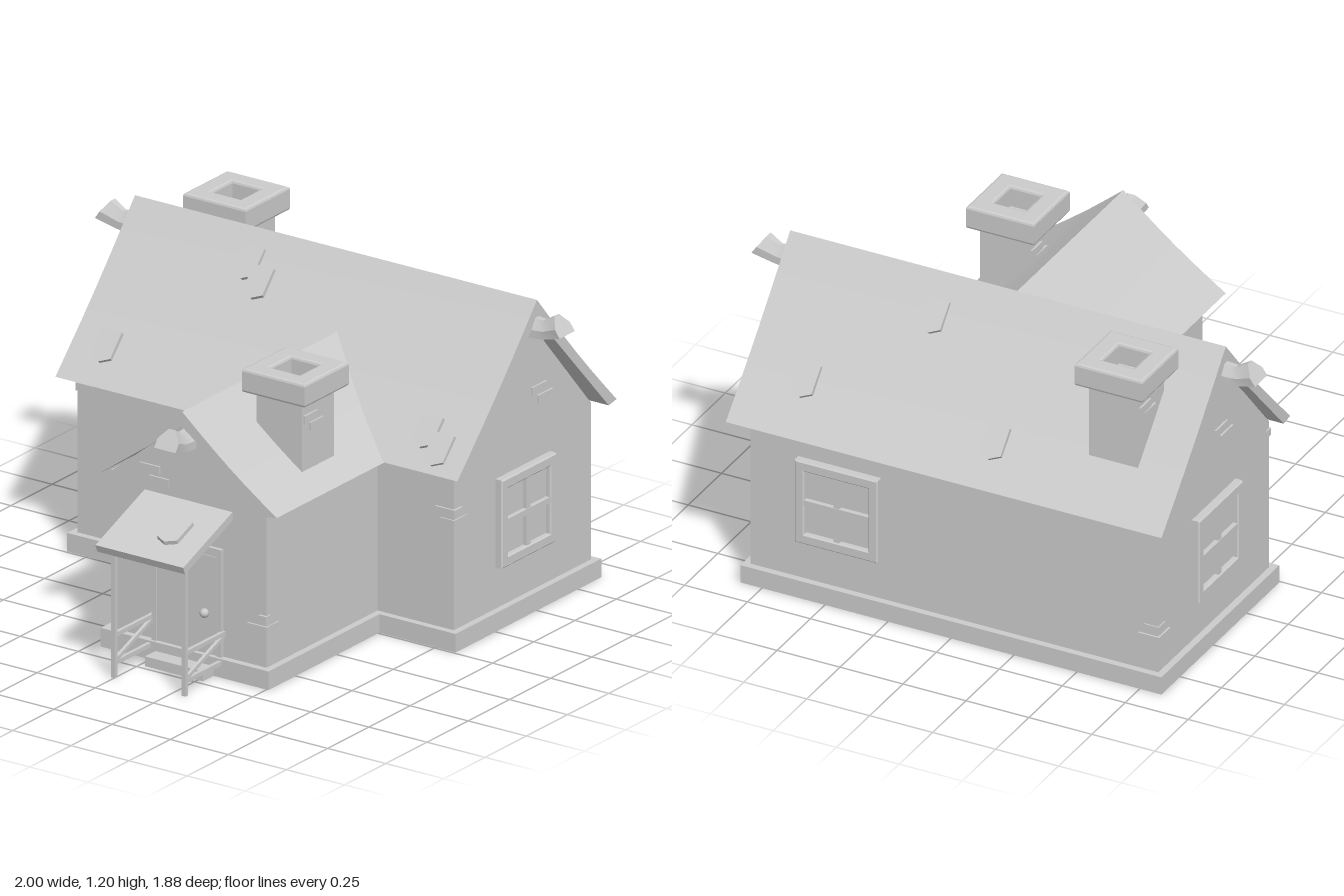
import * as THREE from 'three';
import { toCreasedNormals } from 'three/addons/utils/BufferGeometryUtils.js';

const mat = new THREE.MeshStandardMaterial({ color: 0xcccccc, side: THREE.DoubleSide });
const WX = 0.147; // centre line of the front wing

function add(parent, name, geo, x = 0, y = 0, z = 0) {
  const m = new THREE.Mesh(geo, mat);
  m.name = name;
  m.position.set(x, y, z);
  parent.add(m);
  return m;
}
const box = (parent, name, w, h, d, x, y, z) => add(parent, name, new THREE.BoxGeometry(w, h, d), x, y, z);
const poly = (pts) => new THREE.Shape(pts.map((p) => new THREE.Vector2(p[0], p[1])));
const extrude = (shape, depth) => new THREE.ExtrudeGeometry(shape, { depth, bevelEnabled: false });
const rect = (w, h) => [[-w, -h], [w, -h], [w, h], [-w, h]];

// T-shaped floor plan, grown outwards by o (negative shrinks it)
const plan = (o) => [
  [-0.81 - o, 0.865 + o], [-0.81 - o, 0.033 - o], [-0.188 - o, 0.033 - o], [-0.188 - o, -0.64 - o],
  [0.482 + o, -0.64 - o], [0.482 + o, 0.033 - o], [0.81 + o, 0.033 - o], [0.81 + o, 0.865 + o],
];
function planRing(outer, inner, y0, y1) {
  const s = poly(plan(outer));
  s.holes.push(poly(plan(inner)));
  return extrude(s, y1 - y0).rotateX(-Math.PI / 2).translate(0, y0, 0);
}

// Gabled roof profile with a slight sag, extruded along z
function roofGeo(half, ridge, eave, inHalf, inRidge, length) {
  const side = [];
  for (let i = 0; i <= 6; i++) {
    const t = i / 6;
    side.push([half * t, ridge + (eave - ridge) * t - 0.012 * Math.sin(Math.PI * t)]);
  }
  side.push([inHalf, eave - 0.008]);
  const left = side.slice(1).reverse().map(([x, y]) => [-x, y]);
  return extrude(poly([...side, [0, inRidge], ...left]), length);
}

// Beam end: five-sided sections that swing up and flare at the tip (out along +z)
function beamGeo() {
  const sections = [ // bottom out, bottom y, top out, top y, half width
    [-0.08, 0, -0.08, 0.07, 0.034], [0.02, 0, 0.02, 0.068, 0.034],
    [0.06, 0.004, 0.045, 0.066, 0.032], [0.14, 0.03, 0.095, 0.095, 0.046],
  ];
  const ring = [[-1, 0], [1, 0], [1, 0.45], [0.3, 1], [-0.3, 1], [-1, 0.45]];
  const pos = [], idx = [], n = ring.length;
  sections.forEach(([zb, yb, zt, yt, w], s) => ring.forEach(([u, v], i) => {
    pos.push(u * w, yb + (yt - yb) * v, zb + (zt - zb) * v);
    if (!s) return;
    const a = (s - 1) * n + i, b = (s - 1) * n + (i + 1) % n;
    idx.push(a, b, b + n, a, b + n, a + n);
  }));
  const e = (sections.length - 1) * n;
  for (let i = 1; i < n - 1; i++) idx.push(e, e + i, e + i + 1);
  const g = new THREE.BufferGeometry();
  g.setAttribute('position', new THREE.Float32BufferAttribute(pos, 3));
  g.setIndex(idx);
  return toCreasedNormals(g, 0.5);
}

function makeWindow(parent, name, x, z, turn) {
  const g = new THREE.Group();
  g.name = name;
  const s = poly(rect(0.165, 0.167));
  s.holes.push(poly(rect(0.127, 0.127)));
  add(g, 'windowFrame', new THREE.ExtrudeGeometry(s, {
    depth: 0.06, bevelThickness: 0.005, bevelSize: 0.005, bevelOffset: -0.005, bevelSegments: 1,
  }), 0, 0, -0.04);
  box(g, 'glass', 0.27, 0.27, 0.05, 0, 0, -0.02);
  box(g, 'verticalBar', 0.022, 0.26, 0.025, 0, 0, 0.008);
  box(g, 'horizontalBar', 0.26, 0.022, 0.03, 0, 0, 0.008);
  g.position.set(x, 0.392, z);
  g.rotation.y = turn;
  parent.add(g);
}

// Chimney whose foot follows the roof slope below it
function makeChimney(parent, name, x, z, top, foot) {
  const g = new THREE.Group();
  g.name = name;
  const shaft = new THREE.BoxGeometry(0.195, 1, 0.195);
  const p = shaft.attributes.position;
  for (let i = 0; i < p.count; i++) p.setY(i, p.getY(i) > 0 ? top - 0.08 : foot(p.getX(i), p.getZ(i)));
  add(g, 'chimneyShaft', shaft);
  const s = poly(rect(0.135, 0.135));
  s.holes.push(poly(rect(0.062, 0.062)));
  const cap = new THREE.ExtrudeGeometry(s, {
    depth: 0.07, bevelThickness: 0.01, bevelSize: 0.01, bevelOffset: -0.01, bevelSegments: 2,
  });
  add(g, 'chimneyCap', cap.rotateX(-Math.PI / 2), 0, top - 0.08, 0);
  for (const [u, y] of [[0.05, top - 0.155], [0.015, top - 0.19]]) {
    box(g, 'chimneyBrick', 0.012, 0.03, 0.08, 0.099, y, u);
    box(g, 'chimneyBrick', 0.012, 0.03, 0.08, -0.099, y, -u);
  }
  g.position.set(x, 0, z);
  parent.add(g);
}

// Loose shingle with a pointed lower edge, lying on a slope that faces +z or -z
function makeShingle(parent, x, y, z, tilt, back) {
  const s = poly([[-0.043, 0.06], [-0.043, -0.045], [0, -0.065], [0.043, -0.045], [0.043, 0.06]]);
  const m = add(parent, 'shingle', extrude(s, 0.016), x, y, z);
  m.rotation.order = 'YXZ';
  m.rotation.set(-tilt, back ? Math.PI : 0, 0);
}

export function createModel() {
  const house = new THREE.Group();
  house.name = 'cottage';

  // Walls, plinth and gables
  add(house, 'walls', planRing(0, -0.03, 0.03, 0.665));
  add(house, 'plinth', planRing(0.026, -0.035, 0, 0.07));
  const sideGable = poly([[-0.416, 0], [0.416, 0], [0, 0.475]]);
  for (const x of [-0.81, 0.78]) add(house, 'sideGable', extrude(sideGable, 0.03).rotateY(Math.PI / 2), x, 0.66, -0.449);
  add(house, 'frontGable', extrude(poly([[-0.335, 0], [0.335, 0], [0, 0.27]]), 0.03), WX, 0.66, 0.61);

  // Roofs; the wing roof is mitred against the main slope
  const main = toCreasedNormals(roofGeo(0.483, 1.195, 0.665, 0.435, 1.125, 1.73).rotateY(Math.PI / 2), 0.5);
  add(house, 'mainRoof', main, -0.86, 0, -0.453);
  const wing = roofGeo(0.407, 0.972, 0.664, 0.36, 0.915, 0.68);
  const wp = wing.attributes.position;
  for (let i = 0; i < wp.count; i++) if (wp.getZ(i) < 0.01) wp.setZ(i, -0.01 - (wp.getY(i) - 0.66) * 0.9);
  add(house, 'wingRoof', toCreasedNormals(wing, 0.5), WX, 0, 0);

  // Beam ends under the ridges
  const beam = beamGeo();
  add(house, 'rightBeam', beam, -0.86, 1.062, -0.453).rotation.y = -Math.PI / 2;
  add(house, 'leftBeam', beam, 0.86, 1.062, -0.453).rotation.y = Math.PI / 2;
  add(house, 'frontBeam', beam, WX, 0.83, 0.645);

  makeChimney(house, 'backChimney', -0.588, -0.685, 1.203, (x, z) => 0.91 + z * 1.1);
  makeChimney(house, 'wingChimney', 0.365, 0.3, 1.075, (x) => 0.79 - x * 0.76);

  makeWindow(house, 'leftWindow', 0.815, -0.45, Math.PI / 2);
  makeWindow(house, 'rightWindow', -0.815, -0.45, -Math.PI / 2);
  makeWindow(house, 'backWindow', 0.455, -0.87, Math.PI);
  makeWindow(house, 'wingWindow', -0.193, 0.29, -Math.PI / 2);

  // Door, frame, knob and step
  box(house, 'door', 0.26, 0.44, 0.02, WX, 0.22, 0.638);
  for (const s of [-1, 1]) box(house, 'doorPost', 0.02, 0.46, 0.03, WX + s * 0.14, 0.23, 0.64);
  box(house, 'doorLintel', 0.3, 0.03, 0.03, WX, 0.46, 0.64);
  add(house, 'doorKnob', new THREE.SphereGeometry(0.017, 12, 8), 0.228, 0.225, 0.66);
  box(house, 'step', 0.25, 0.037, 0.1, WX, 0.0185, 0.68);

  // Porch: sloping canopy, posts and braced railings
  box(house, 'canopy', 0.378, 0.03, 0.32, WX, 0.553, 0.785).rotation.x = 0.366;
  for (const s of [-1, 1]) {
    const x = WX + s * 0.152;
    box(house, 'porchPost', 0.018, 0.51, 0.016, x, 0.255, 0.878);
    for (const y of [0.055, 0.16]) box(house, 'rail', 0.014, 0.016, 0.25, x, y, 0.755);
    box(house, 'railBrace', 0.012, 0.014, 0.255, x, 0.107, 0.758).rotation.x = 0.36;
  }

  // Bricks standing proud of the walls: centre, then size along x and z
  const bricks = [
    [-0.018, 0.71, 0.64, 0.085, 0.015], [0.022, 0.67, 0.64, 0.085, 0.015],
    [0.47, 0.25, 0.635, 0.035, 0.03], [0.445, 0.21, 0.61, 0.084, 0.075],
    [0.777, 0.51, -0.05, 0.085, 0.05], [0.785, 0.47, -0.07, 0.06, 0.085],
    [0.81, 0.82, -0.545, 0.015, 0.09], [0.81, 0.78, -0.582, 0.015, 0.09],
    [-0.81, 0.82, -0.4, 0.015, 0.09], [-0.81, 0.78, -0.36, 0.015, 0.09],
    [-0.785, 0.24, -0.845, 0.06, 0.05], [-0.775, 0.2, -0.83, 0.085, 0.085],
    [-0.78, 0.62, -0.045, 0.07, 0.03],
  ];
  for (const [x, y, z, w, d] of bricks) box(house, 'brick', w, 0.03, d, x, y, z);

  // Shingles on the main roof and the canopy
  const shingles = [
    [-0.305, 1.1], [-0.235, 1.055], [-0.715, 0.785], [0.67, 0.78], [0.745, 0.74],
    [-0.135, 0.8, 1], [0.63, 0.83, 1], [0.24, 1.08, 1],
  ];
  for (const [x, y, back] of shingles) {
    const d = (1.195 - y) * 0.911;
    makeShingle(house, x, y - 0.009, -0.453 + (back ? -d : d), 0.74, back);
  }
  makeShingle(house, 0.2, 0.563, 0.8, 1.205, 0);
  makeShingle(house, 0.27, 0.55, 0.79, 1.205, 0);
  return house;
}
